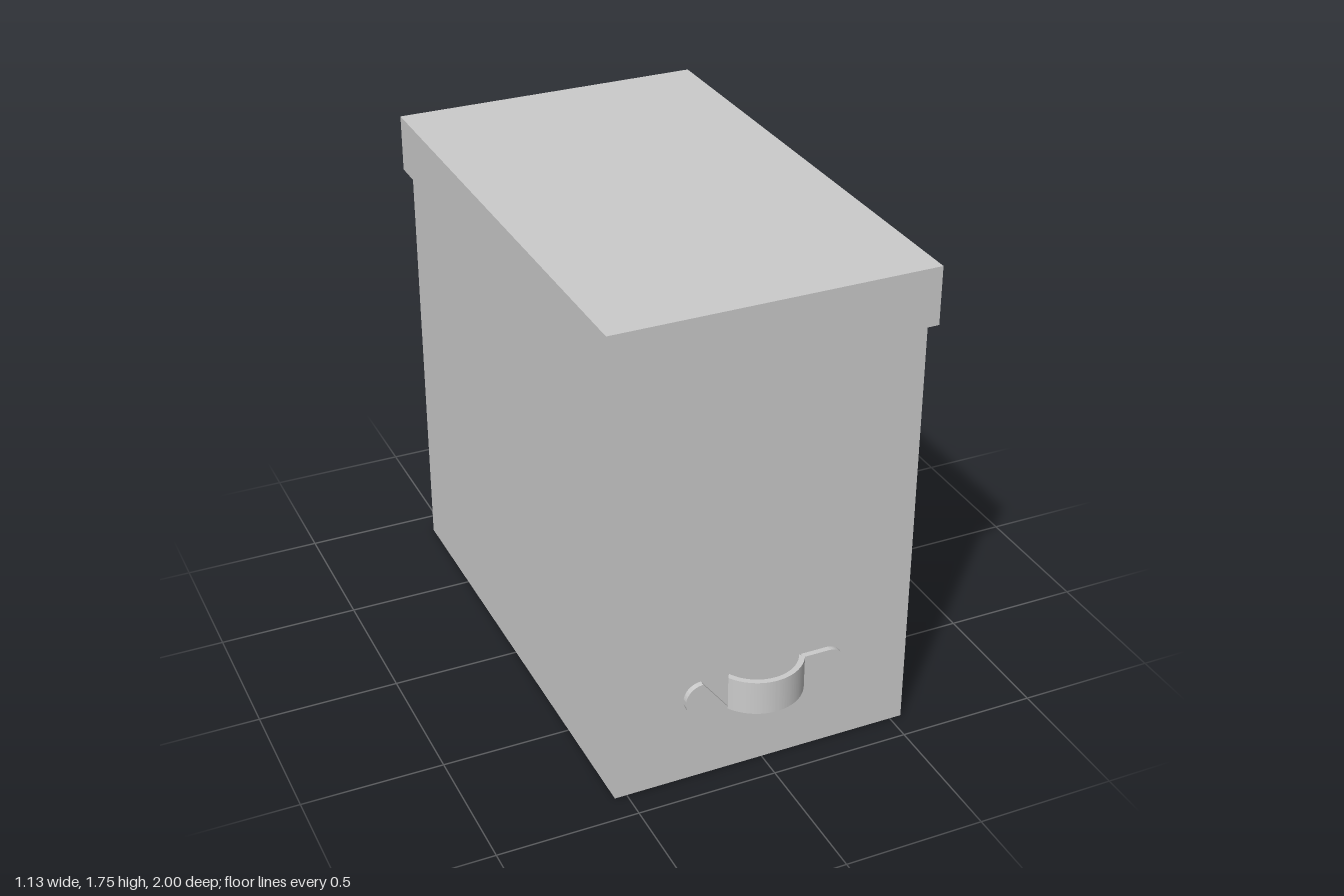
import * as THREE from 'three';
import { toCreasedNormals } from 'three/addons/utils/BufferGeometryUtils.js';

const material = new THREE.MeshStandardMaterial({ color: 0xcccccc });

const BODY = { w: 1.086, h: 1.54, d: 1.8 };
const LID = { w: 1.134, h: 0.205, d: 1.856 };
const HANDLE = { y: 0.322, height: 0.125, halfWidth: 0.295, thickness: 0.02 };

function addMesh(parent, name, geometry) {
  const mesh = new THREE.Mesh(geometry, material);
  mesh.name = name;
  parent.add(mesh);
  return mesh;
}

function addBox(parent, name, { w, h, d }, bottom) {
  const geometry = new THREE.BoxGeometry(w, h, d);
  addMesh(parent, name, geometry).position.y = bottom + h / 2;
}

// Pull handle on the +z face: a bowed strap between two round-ended tabs
function makeHandle(name) {
  const group = new THREE.Group();
  group.name = name;
  const { y, height, halfWidth, thickness } = HANDLE;
  const face = BODY.d / 2;

  // Strap: circular band seen from above, extruded over the handle height
  const outerR = 0.166, innerR = outerR - thickness, centreZ = 1 - outerR;
  const a = Math.asin((face + thickness - centreZ) / outerR);
  const b = Math.asin((face - centreZ) / innerR);
  const band = new THREE.Shape();
  band.absarc(0, centreZ, outerR, a, Math.PI - a, false);
  band.absarc(0, centreZ, innerR, Math.PI - b, b, true);
  const strap = new THREE.ExtrudeGeometry(band, { depth: height, bevelEnabled: false, curveSegments: 32 });
  strap.rotateX(Math.PI / 2).translate(0, y + height / 2, 0);
  addMesh(group, 'handleStrap', toCreasedNormals(strap, 0.5));

  // Tabs: flat plates rounded at the outer end
  const r = height / 2;
  const plate = new THREE.Shape();
  plate.moveTo(0.136, -r);
  plate.absarc(halfWidth - r, 0, r, -Math.PI / 2, Math.PI / 2, false);
  plate.lineTo(0.136, r);
  const tab = toCreasedNormals(
    new THREE.ExtrudeGeometry(plate, { depth: thickness, bevelEnabled: false, curveSegments: 24 }), 0.5);
  for (const [side, turn] of [['left', 0], ['right', Math.PI]]) {
    const mesh = addMesh(group, side + 'HandleTab', tab);
    mesh.rotation.z = turn;
    mesh.position.set(0, y, face);
  }
  return group;
}

export function createModel() {
  const model = new THREE.Group();
  model.name = 'storageBox';

  addBox(model, 'boxBody', BODY, 0);
  addBox(model, 'lid', LID, BODY.h);

  const front = makeHandle('frontHandle');
  const back = makeHandle('backHandle');
  back.rotation.y = Math.PI;
  model.add(front, back);

  return model;
}
